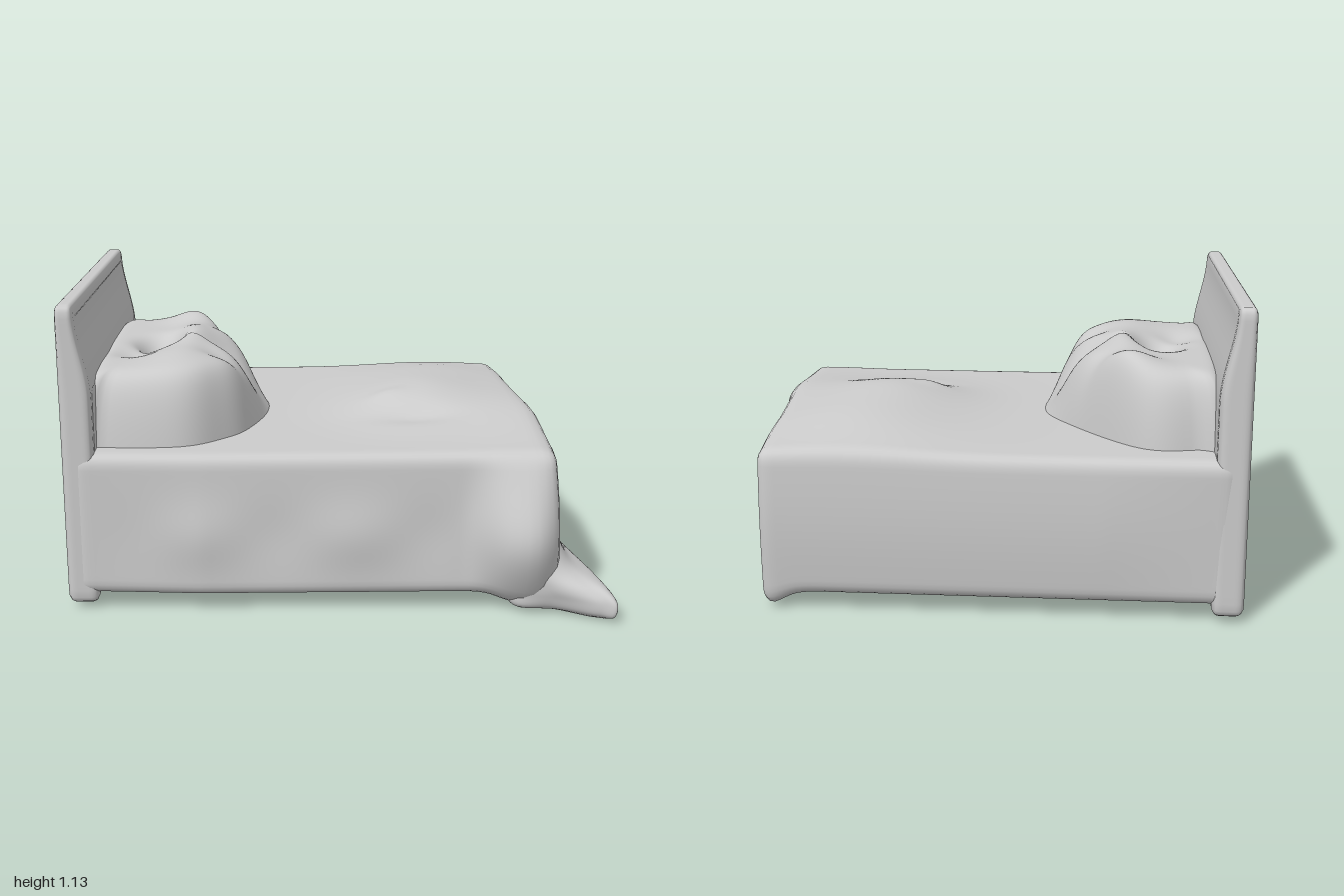
import * as THREE from 'three';
import { mergeVertices } from 'three/addons/utils/BufferGeometryUtils.js';

const material = new THREE.MeshStandardMaterial({ color: 0xcccccc, side: THREE.DoubleSide });
const { clamp, lerp, smoothstep } = THREE.MathUtils;
const bump = (x, z, cx, cz, rx, rz) => Math.exp(-(((x - cx) / rx) ** 2) - ((z - cz) / rz) ** 2);

function makeMesh(geometry, name) {
  geometry.computeVertexNormals();
  const mesh = new THREE.Mesh(geometry, material);
  mesh.name = name;
  return mesh;
}

// Finely divided box with rounded edges, placed by its limits and shaped by a rule
function softBox(name, min, max, segs, r, rule) {
  const size = max.map((m, i) => m - min[i]);
  const mid = max.map((m, i) => (m + min[i]) / 2);
  let g = new THREE.BoxGeometry(...size, ...segs);
  g.deleteAttribute('uv');
  g.deleteAttribute('normal');
  g = mergeVertices(g, 1e-4);
  const pos = g.attributes.position;
  const p = new THREE.Vector3();
  const core = new THREE.Vector3();
  for (let i = 0; i < pos.count; i++) {
    p.fromBufferAttribute(pos, i);
    core.set(...p.toArray().map((v, k) => clamp(v, r - size[k] / 2, size[k] / 2 - r)));
    p.sub(core).setLength(r).add(core);
    p.set(p.x + mid[0], p.y + mid[1], p.z + mid[2]);
    rule(p);
    pos.setXYZ(i, p.x, p.y, p.z);
  }
  return makeMesh(g, name);
}

// Skin over closed rings of equal point count, with a cap at each end
function loft(name, rings) {
  const n = rings[0].length;
  const points = rings.flat();
  const index = [];
  for (let i = 0; i < rings.length - 1; i++) {
    for (let j = 0; j < n; j++) {
      const a = i * n + j, b = i * n + (j + 1) % n;
      index.push(a, a + n, b, b, a + n, b + n);
    }
  }
  [0, rings.length - 1].forEach((k) => {
    const c = new THREE.Vector3();
    rings[k].forEach((q) => c.addScaledVector(q, 1 / n));
    const id = points.push(c) - 1;
    for (let j = 0; j < n; j++) {
      const a = k * n + j, b = k * n + (j + 1) % n;
      if (k) index.push(a, id, b);
      else index.push(a, b, id);
    }
  });
  const g = new THREE.BufferGeometry().setFromPoints(points);
  g.setIndex(index);
  return makeMesh(g, name);
}

const closedCurve = (pts, y) =>
  new THREE.CatmullRomCurve3(pts.map(([x, z]) => new THREE.Vector3(x, y, z)), true, 'catmullrom', 0.5);

// Headboard: thinner towards the top, with small points at the lower corners
function headboard() {
  return softBox('headboard', [-0.995, 0.06, -0.77], [-0.88, 1.14, 0.62], [12, 48, 56], 0.03, (p) => {
    const taper = 0.05 * smoothstep(p.y, 0.8, 1.12);
    const ends = bump(0, p.z, 0, 0.62, 1, 0.1) + bump(0, p.z, 0, -0.77, 1, 0.1);
    p.x -= taper * clamp((p.x + 0.995) / 0.115, 0, 1);
    p.y -= 0.045 * clamp(1 - p.y / 0.2, 0, 1) * ends + 0.008 * clamp(p.y - 0.6, 0, 1) * (0.6 - p.z);
  });
}

// Mattress and bedding: folds on top, wavy sides, a full drape at the front foot corner
function bedding() {
  return softBox('bedding', [-0.96, 0.07, -0.775], [0.74, 0.6, 0.625], [72, 28, 60], 0.045, (p) => {
    const { x, y, z } = p;
    const t = clamp((y - 0.07) / 0.53, 0, 1);
    const along = clamp((x + 0.9) / 0.4, 0, 1);
    const rise = 0.085 * bump(x, z, 0.33, -0.02, 0.28, 0.3) + 0.06 * bump(x, z, 0.42, -0.42, 0.33, 0.3)
      + 0.03 * bump(x, z, 0.7, 0.1, 0.2, 0.4) + 0.012 * bump(x, z, 0.2, 0.04, 0.07, 0.05)
      - 0.025 * bump(x, z, 0.3, 0.22, 0.14, 0.07);
    p.y += rise * t ** 4;

    // Sides: swelling above the hem
    const nearSide = smoothstep(z, 0.5, 0.6);
    const farSide = smoothstep(-z, 0.6, 0.74);
    const foot = smoothstep(x, 0.58, 0.72);
    const low = Math.exp(-(((y - 0.3) / 0.12) ** 2));
    p.z += nearSide * along * (0.03 - 0.015 * t + 0.012 * low * (Math.sin(x * 11 + 1) + 0.5));
    p.z -= farSide * (0.015 * Math.sin(Math.PI * t) * along - 0.012 * (1 - t));
    p.x += foot * (0.035 * clamp((z + 0.35) / 0.5, 0, 1) * t - 0.015 * bump(0, z, 0, -0.78, 1, 0.2));

    // Drape: starts along a slanting fold on the foot side and rounds the corner
    const start = 0.18 - 0.22 * t * t;
    const footDrape = foot * smoothstep(z, start - 0.04, start + 0.08);
    const nearDrape = nearSide * smoothstep(x, 0.44, 0.66);
    p.x += 0.1 * (1 - t) ** 0.7 * footDrape * (1 - 0.55 * smoothstep(z, 0.48, 0.625));
    p.z += 0.115 * Math.sin(Math.PI * t ** 0.8) * nearDrape * (1 - 0.4 * smoothstep(x, 0.66, 0.74));

    // Drooping hem at the foot corners
    p.y -= (1 - t) ** 5 * (0.05 * bump(x, z, 0.72, -0.75, 0.09, 0.09) + 0.05 * bump(x, z, 0.66, 0.62, 0.09, 0.2));
  });
}

// Pillow heap: steep at the ends, sloping towards the foot, with a hollow on top
function pillow() {
  const outline = closedCurve([
    [-0.25, -0.06], [-0.33, 0.27], [-0.43, 0.42], [-0.58, 0.52], [-0.86, 0.52],
    [-0.94, 0.45], [-0.94, -0.54], [-0.82, -0.62], [-0.62, -0.61], [-0.37, -0.31],
  ], 0).getSpacedPoints(120).slice(0, -1);
  const cx = -0.62, cz = -0.05, steps = 40;
  const rings = [];
  for (let i = 0; i <= steps; i++) {
    const s = Math.cos((i / steps) * Math.PI / 2) * 0.99 + 0.01;
    rings.push(outline.map((o) => {
      const toFoot = Math.max(0, (o.x - cx) / Math.hypot(o.x - cx, o.z - cz)) ** 1.5;
      const x = cx + (o.x - cx) * s, z = cz + (o.z - cz) * s;
      const wall = 1 - s ** lerp(17, 1.8, toFoot);
      const folds = 0.045 * bump(x, z, -0.57, -0.1, 0.08, 0.22) + 0.045 * bump(x, z, -0.58, -0.45, 0.11, 0.1)
        + 0.025 * bump(x, z, -0.6, 0.25, 0.12, 0.16) + 0.025 * bump(x, z, -0.36, -0.14, 0.05, 0.14)
        - 0.03 * bump(x, z, -0.42, 0.16, 0.08, 0.06) - 0.025 * bump(x, z, -0.43, -0.33, 0.07, 0.05)
        - 0.13 * bump(x, z, -0.7, -0.07, 0.07, 0.08) - 0.03 * bump(x, z, -0.78, 0.1, 0.08, 0.1);
      return new THREE.Vector3(x, 0.575 + wall * (0.295 + folds), z);
    }));
  }
  return loft('pillow', rings);
}

// Blanket end trailing on the floor: height, then points around the corner
function blanketTail() {
  const sections = [
    [0.01, [[0.8, 0.28], [0.87, 0.35], [0.96, 0.7], [0.92, 0.73], [0.8, 0.66], [0.68, 0.6]]],
    [0.035, [[0.75, 0.2], [0.87, 0.25], [0.985, 0.74], [0.93, 0.77], [0.78, 0.7], [0.63, 0.66]]],
    [0.08, [[0.74, 0.18], [0.87, 0.23], [0.99, 0.74], [0.93, 0.775], [0.78, 0.72], [0.62, 0.66]]],
    [0.12, [[0.74, 0.18], [0.86, 0.24], [0.96, 0.7], [0.9, 0.75], [0.75, 0.72], [0.62, 0.66]]],
    [0.18, [[0.74, 0.2], [0.83, 0.27], [0.85, 0.55], [0.82, 0.67], [0.72, 0.71], [0.62, 0.66]]],
    [0.28, [[0.74, 0.25], [0.8, 0.32], [0.8, 0.5], [0.77, 0.62], [0.7, 0.66], [0.64, 0.6]]],
  ];
  const columns = sections.map(([y, pts]) => closedCurve([...pts, [0.64, 0.4]], y).getPoints(63).slice(0, -1));
  const strands = columns[0].map((_, j) => new THREE.CatmullRomCurve3(columns.map((c) => c[j])).getPoints(32));
  return loft('blanketTail', strands[0].map((_, i) => strands.map((s) => s[i])));
}

export function createModel() {
  const bed = new THREE.Group();
  bed.name = 'bed';
  bed.add(headboard(), bedding(), pillow(), blanketTail());
  return bed;
}
